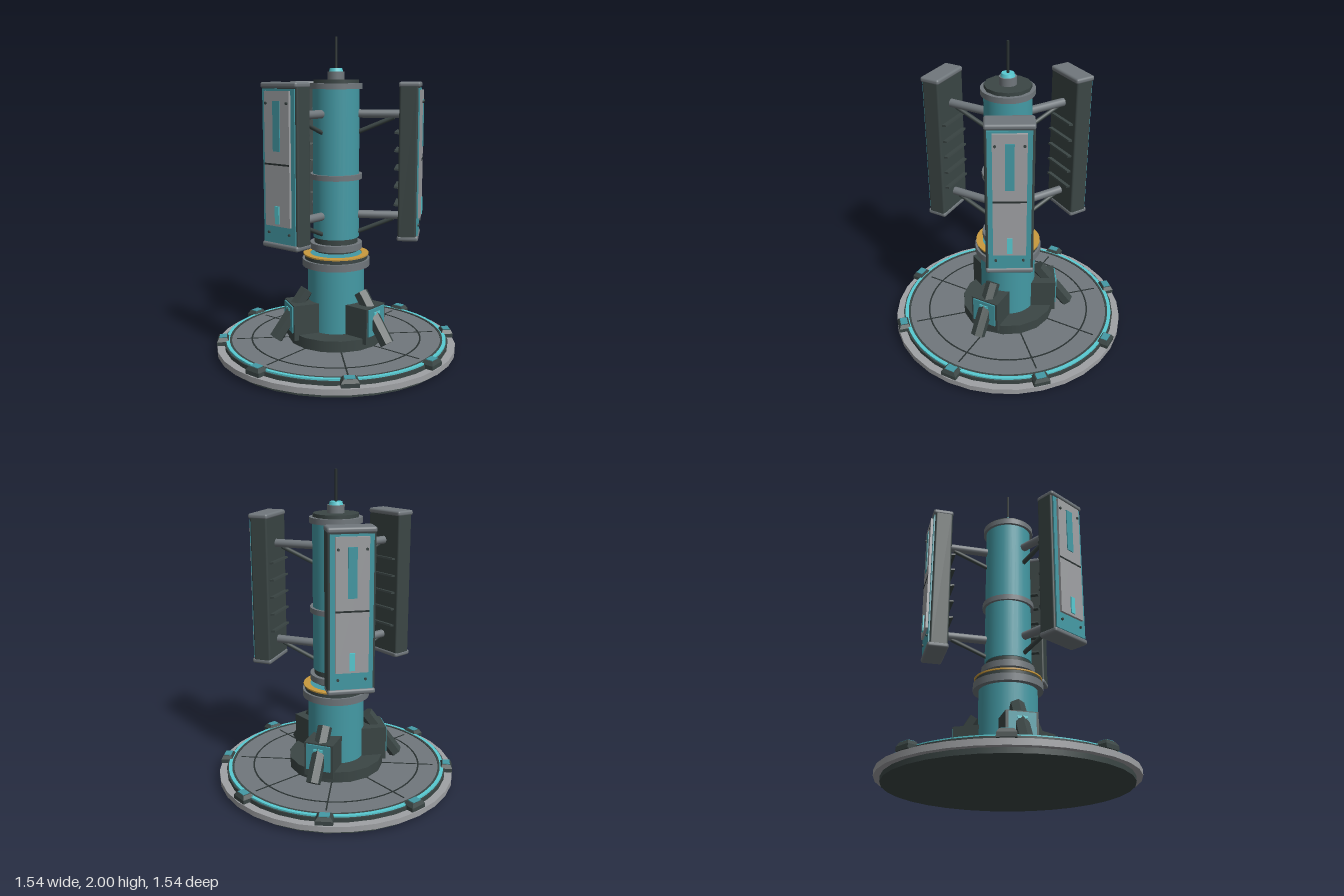
import * as THREE from 'three';
import { RoundedBoxGeometry } from 'three/addons/geometries/RoundedBoxGeometry.js';

const mat = (name, color) => {
  const m = new THREE.MeshStandardMaterial({ color });
  m.name = name;
  return m;
};

export function createModel() {
  const dark = mat('dark gunmetal', 0x3b4645);
  const line = mat('seam black', 0x2a3232);
  const grey = mat('mid grey', 0x70777c);
  const light = mat('light grey', 0x9fa1a4);
  const teal = mat('teal', 0x449aa5);
  const cyan = mat('bright cyan', 0x58cad2);
  const gold = mat('gold', 0xc99a3e);

  const model = new THREE.Group();
  model.name = 'sensorMast';

  const add = (parent, name, geometry, material, x = 0, y = 0, z = 0) => {
    const mesh = new THREE.Mesh(geometry, material);
    mesh.name = name;
    mesh.position.set(x, y, z);
    parent.add(mesh);
    return mesh;
  };
  const box = (parent, name, m, w, h, d, x, y, z) =>
    add(parent, name, new THREE.BoxGeometry(w, h, d), m, x, y, z);
  // Upright drum from height y0 to y1
  const drum = (name, m, r, y0, y1, sides = 32, rTop = r) =>
    add(model, name, new THREE.CylinderGeometry(rTop, r, y1 - y0, sides), m, 0, (y0 + y1) / 2, 0);
  // Flat-sided hollow ring from radius a to b and height y0 to y1
  const hoop = (name, m, a, b, y0, y1, sides = 48) => {
    const shape = new THREE.Shape().absarc(0, 0, b, 0, Math.PI * 2);
    shape.holes.push(new THREE.Path().absarc(0, 0, a, 0, Math.PI * 2, true));
    const g = new THREE.ExtrudeGeometry(shape, { depth: y1 - y0, bevelEnabled: false, curveSegments: sides });
    return add(model, name, g.rotateX(-Math.PI / 2), m, 0, y0, 0);
  };
  // Round or faceted bar between two points
  const bar = (parent, name, m, a, b, r, sides = 12) => {
    const from = new THREE.Vector3(...a), to = new THREE.Vector3(...b);
    let g = new THREE.CylinderGeometry(r, r, from.distanceTo(to), sides);
    if (sides <= 6) {
      g = g.toNonIndexed();
      g.computeVertexNormals();
    }
    const mesh = add(parent, name, g, m);
    mesh.position.copy(from).lerp(to, 0.5);
    mesh.quaternion.setFromUnitVectors(new THREE.Vector3(0, 1, 0), to.sub(from).normalize());
    return mesh;
  };
  // Group whose local +z points outward at the given angle
  const spoke = (name, angle) => {
    const g = new THREE.Group();
    g.name = name;
    g.rotation.y = angle;
    model.add(g);
    return g;
  };

  // Base platform
  drum('baseFoot', dark, 0.73, 0, 0.03);
  drum('baseRim', light, 0.768, 0.03, 0.065);
  drum('baseStep', dark, 0.72, 0.065, 0.09);
  drum('deck', grey, 0.675, 0.085, 0.095, 48);
  hoop('deckEdge', dark, 0.672, 0.686, 0.085, 0.1);
  hoop('lightRing', cyan, 0.686, 0.708, 0.085, 0.1);
  hoop('deckSeamRing', line, 0.538, 0.548, 0.092, 0.097);

  // Deck seams and rim clamps
  for (let i = 0; i < 8; i++) {
    const g = spoke('rimStation', (i * Math.PI) / 4);
    box(g, 'deckSeam', line, 0.009, 0.005, 0.36, 0, 0.0945, 0.46);
    box(g, 'clampBase', dark, 0.105, 0.025, 0.075, 0, 0.0825, 0.727);
    let taper = new THREE.CylinderGeometry(0.5, 0.7071, 1, 4).rotateY(Math.PI / 4).toNonIndexed();
    taper.computeVertexNormals();
    add(g, 'clampTop', taper.scale(0.105, 0.022, 0.075), dark, 0, 0.106, 0.727);
    box(g, 'clampPad', teal, 0.062, 0.006, 0.046, 0, 0.118, 0.727);
  }

  // Lower column and bearing
  drum('pedestalCollar', dark, 0.307, 0.095, 0.165, 16);
  drum('lowerColumn', teal, 0.18, 0.165, 0.58);
  drum('bearingCollar', grey, 0.215, 0.575, 0.62);
  drum('bearingGroove', dark, 0.2, 0.62, 0.645);
  hoop('bearingRing', gold, 0.165, 0.208, 0.645, 0.654);
  drum('bearingFace', teal, 0.165, 0.645, 0.651);

  // Rotating upper column
  drum('headBase', dark, 0.14, 0.67, 0.685);
  drum('headCollar', grey, 0.165, 0.685, 0.725);
  drum('headGroove', dark, 0.138, 0.725, 0.76);
  drum('upperColumn', teal, 0.145, 0.76, 1.69);
  drum('middleBand', grey, 0.163, 1.13, 1.163);
  drum('topBand', grey, 0.163, 1.685, 1.72);
  drum('topCap', dark, 0.142, 1.72, 1.742, 12);
  drum('antennaSocket', grey, 0.053, 1.742, 1.79, 16);
  drum('antennaCollar', cyan, 0.044, 1.79, 1.81, 16, 0.038);
  drum('antenna', line, 0.008, 1.81, 2, 8);

  // Anchor blocks with slanted struts
  for (const angle of [90, 210, 330]) {
    const g = spoke('anchor', (angle * Math.PI) / 180);
    box(g, 'anchorBlock', dark, 0.19, 0.225, 0.17, 0, 0.2425, 0.23);
    box(g, 'anchorPlate', teal, 0.16, 0.17, 0.009, 0, 0.262, 0.319);
    box(g, 'anchorLight', cyan, 0.06, 0.016, 0.006, 0, 0.315, 0.326);
    bar(g, 'anchorStrut', dark, [0, 0.425, 0.2], [0, 0.132, 0.406], 0.046, 6);
  }

  // Panels on their arms
  for (const angle of [0, 120, 240]) {
    const g = spoke('panelAssembly', (angle * Math.PI) / 180);
    for (const y of [0.905, 1.535]) {
      bar(g, 'arm', grey, [0, y, 0.12], [0, y, 0.41], 0.026, 16);
      bar(g, 'armBrace', dark, [0, y - 0.12, 0.12], [0, y - 0.02, 0.36], 0.014, 8);
    }
    add(g, 'panelBody', new RoundedBoxGeometry(0.276, 0.93, 0.112, 2, 0.012), dark, 0, 1.248, 0.456);
    for (const y of [0.784, 1.713])
      add(g, 'panelCap', new RoundedBoxGeometry(0.28, 0.034, 0.13, 2, 0.014), grey, 0, y, 0.46);
    box(g, 'panelFrame', teal, 0.246, 0.89, 0.012, 0, 1.247, 0.514);
    box(g, 'panelCover', light, 0.19, 0.775, 0.016, 0, 1.2925, 0.527);
    box(g, 'coverSeam', line, 0.19, 0.01, 0.003, 0, 1.265, 0.536);
    box(g, 'coverWindow', teal, 0.052, 0.285, 0.006, 0, 1.482, 0.537);
    box(g, 'coverLight', cyan, 0.032, 0.105, 0.008, 0, 0.972, 0.538);
    for (const x of [-0.08, 0.08])
      for (const [y, z] of [[1.612, 0.537], [0.862, 0.523]])
        add(g, 'bolt', new THREE.CylinderGeometry(0.008, 0.008, 0.012, 8).rotateX(Math.PI / 2), dark, x, y, z);
    // Cooling fins on the back
    for (let i = 0; i < 5; i++) {
      const fin = box(g, 'coolingFin', dark, 0.22, 0.012, 0.034, 0, 0.985 + i * 0.11, 0.389);
      fin.rotation.x = 0.15;
    }
  }
  return model;
}
